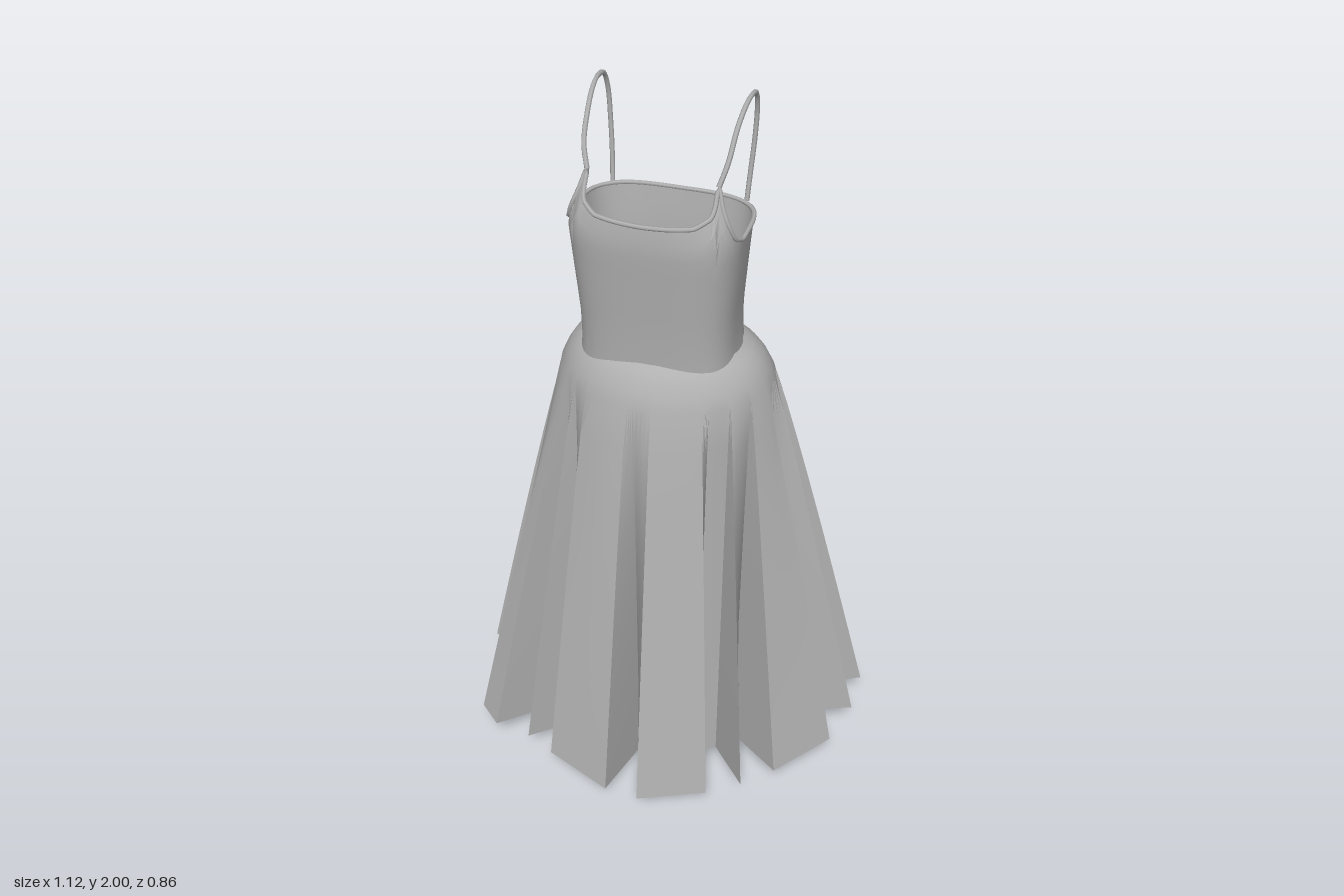
import * as THREE from 'three';
import { toCreasedNormals } from 'three/addons/utils/BufferGeometryUtils.js';

const fabric = new THREE.MeshStandardMaterial({ color: 0xb0b0b0, side: THREE.DoubleSide });
const { lerp } = THREE.MathUtils;

// Linear lookup in [key, ...values] rows
function sample(rows, key, col = 1) {
  for (let i = 1; i < rows.length; i++) {
    const [a, b] = [rows[i - 1], rows[i]];
    if (key <= b[0]) return lerp(a[col], b[col], Math.max(0, (key - a[0]) / (b[0] - a[0])));
  }
  return rows[rows.length - 1][col];
}

// Skin closed rings of points, ordered from bottom to top
function loft(rings, crease) {
  const n = rings[0].length, index = [];
  for (let r = 0; r < rings.length - 1; r++) {
    for (let i = 0; i < n; i++) {
      const j = (i + 1) % n, a = r * n + i, b = r * n + j;
      index.push(a, b, b + n, a, b + n, a + n);
    }
  }
  const g = new THREE.BufferGeometry().setFromPoints(rings.flat());
  g.setIndex(index);
  return toCreasedNormals(g, crease);
}

// Hem outline (x, z), from the front round past +x: pleat tips and valleys
const HEM = [
  [-.02, .24], [.03, .43], [.22, .38], [.15, .23], [.2, .2], [.31, .335], [.235, .14],
  [.39, .27], [.52, .125], [.3, .04], [.555, -.015], [.45, -.06], [.28, -.05],
  [.555, -.145], [.46, -.175], [.21, -.22], [.27, -.4], [.18, -.35], [.12, -.25],
  [.08, -.38], [-.01, -.43], [.03, -.25], [-.13, -.28], [-.21, -.385], [-.29, -.41],
  [-.2, -.22], [-.37, -.34], [-.27, -.15], [-.48, -.31], [-.3, -.1], [-.4, -.14],
  [-.56, -.01], [-.32, .03], [-.49, .12], [-.49, .28], [-.43, .33], [-.26, .15],
  [-.33, .335], [-.2, .2], [-.25, .365], [-.065, .425],
];

function makeSkirt() {
  // Angle of every hem point, kept increasing so that the pleats never cross at the hip
  const angles = [];
  HEM.forEach(([x, z], i) => {
    let a = Math.atan2(x, z - .015);
    if (i > 0) {
      const last = angles[i - 1];
      while (a < last - Math.PI) a += 2 * Math.PI;
      a = Math.max(a, last + .012);
    }
    angles.push(a);
  });
  angles.push(angles[0] + 2 * Math.PI);

  const STEPS = 4, columns = [];
  HEM.forEach((p, i) => {
    const q = HEM[(i + 1) % HEM.length];
    for (let k = 0; k < STEPS; k++) {
      const f = k / STEPS, x = lerp(p[0], q[0], f), z = lerp(p[1], q[1], f);
      const y = z < 0 ? .012 + .2 * Math.abs(x) + .14 * Math.max(0, -z - .25) : .03 + .17 * Math.abs(x);
      columns.push({ a: lerp(angles[i], angles[i + 1], f), hem: new THREE.Vector3(x, Math.min(y, .12) - .012, z) });
    }
  });
  const hip = (a, y, rx, rz, cz) => new THREE.Vector3(rx * Math.sin(a), y, cz + rz * Math.cos(a));

  const rings = [];
  // Pleated panels, from hem to hip
  for (let r = 0; r < 10; r++) {
    const s = Math.pow(1 - r / 10, .93), t = 1 - r / 10;
    rings.push(columns.map(({ a, hem }) => {
      const top = hip(a, 1.25, .283, .225, .015);
      return new THREE.Vector3(lerp(top.x, hem.x, s), lerp(top.y, hem.y, t), lerp(top.z, hem.z, s));
    }));
  }
  // Smooth rounded yoke, from hip to waist
  for (const [y, rx, rz, cz] of [
    [1.25, .283, .225, .015], [1.285, .268, .21, .018], [1.315, .25, .19, .022],
    [1.338, .225, .168, .028], [1.35, .2, .15, .03],
  ]) rings.push(columns.map(({ a }) => hip(a, y, rx, rz, cz)));
  return loft(rings, .5);
}

// Bodice sections: y, half width, front z, back z
const BODICE = [
  [1.32, .205, .178, -.125], [1.36, .2, .18, -.118], [1.45, .2, .186, -.11], [1.6, .212, .2, -.115],
  [1.7, .22, .21, -.125], [1.75, .212, .207, -.128], [1.84, .192, .15, -.128],
];
// Neckline height by degrees from the front centre
const NECKLINE = [
  [0, 1.755], [25, 1.762], [40, 1.78], [45, 1.8], [50, 1.84], [55, 1.795], [60, 1.765],
  [70, 1.715], [80, 1.7], [130, 1.692], [180, 1.69],
];
const SEGMENTS = 72;

function bodicePoint(i, v) {
  const a = i / SEGMENTS * 2 * Math.PI;
  const deg = Math.min(a, 2 * Math.PI - a) * 180 / Math.PI;
  const y = lerp(1.32, sample(NECKLINE, deg), v);
  const round = c => Math.sign(c) * Math.pow(Math.abs(c), .62);
  const front = sample(BODICE, y, 2), back = sample(BODICE, y, 3);
  return new THREE.Vector3(
    -.008 + sample(BODICE, y) * round(Math.sin(a)), y,
    (front + back) / 2 + (front - back) / 2 * round(Math.cos(a)));
}

function bodiceRing(v) {
  return Array.from({ length: SEGMENTS }, (_, i) => bodicePoint(i, v));
}

export function createModel() {
  const dress = new THREE.Group();
  dress.name = 'dress';
  const add = (name, geometry) => {
    const mesh = new THREE.Mesh(geometry, fabric);
    mesh.name = name;
    dress.add(mesh);
  };

  add('skirt', makeSkirt());
  add('bodice', loft(Array.from({ length: 11 }, (_, r) => bodiceRing(r / 10)), .6));

  // Piping along the neckline
  const edge = new THREE.CatmullRomCurve3(bodiceRing(1), true);
  add('necklineTrim', new THREE.TubeGeometry(edge, 144, .006, 6, true));

  // Shoulder straps
  for (const side of [1, -1]) {
    const start = bodicePoint(side > 0 ? 10 : SEGMENTS - 10, 1);
    const path = [[.178, 1.89, .085], [.184, 1.95, .035], [.189, 1.985, -.02], [.192, 1.994, -.07],
      [.192, 1.98, -.115], [.19, 1.93, -.138], [.186, 1.85, -.14], [.18, 1.76, -.13], [.176, 1.685, -.117]];
    const points = path.map(([x, y, z]) => new THREE.Vector3(side * x - .01, y, z));
    const curve = new THREE.CatmullRomCurve3([start, ...points]);
    add(side > 0 ? 'leftStrap' : 'rightStrap', new THREE.TubeGeometry(curve, 48, .0065, 6));
  }
  return dress;
}
